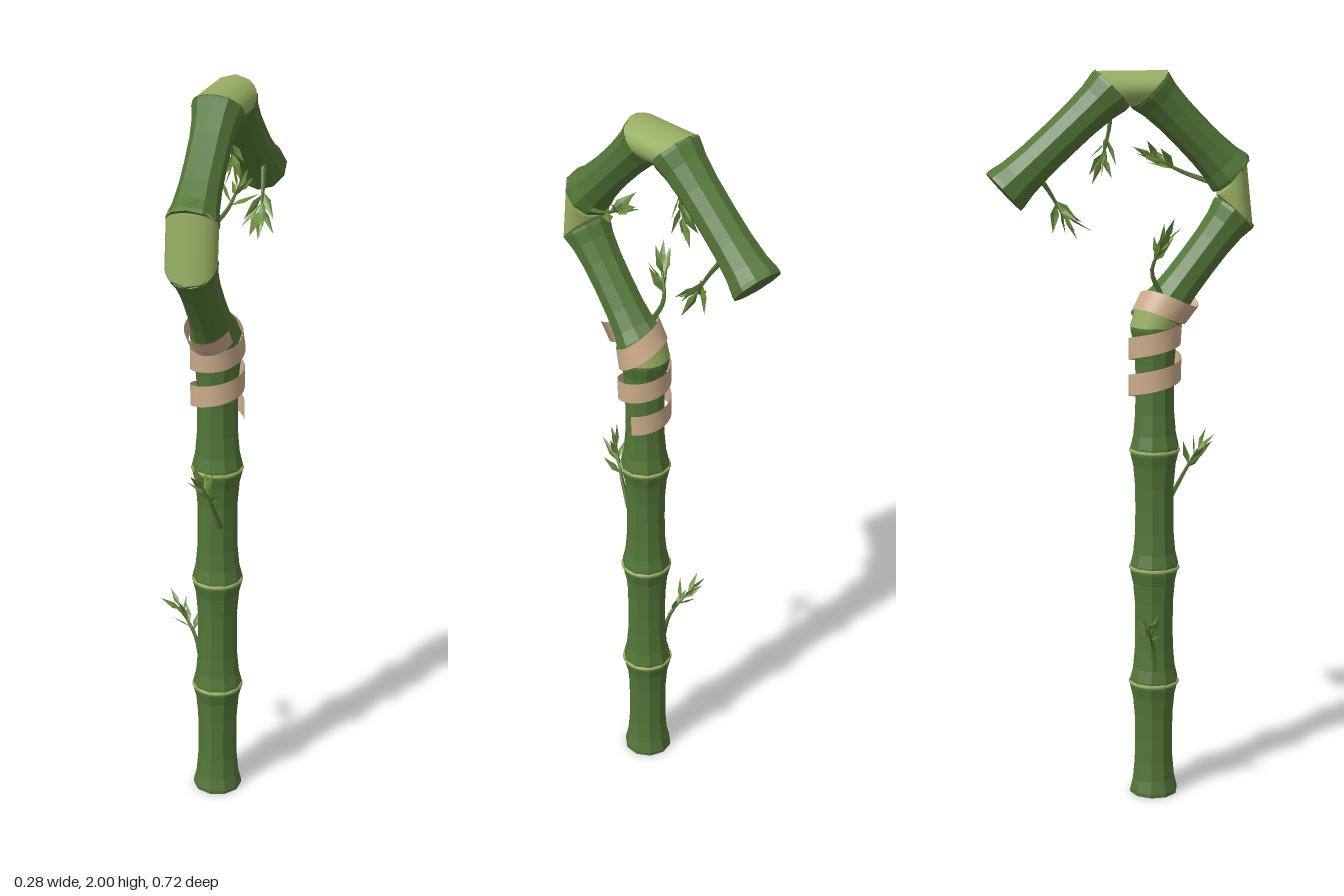
import * as THREE from 'three';
import { toCreasedNormals } from 'three/addons/utils/BufferGeometryUtils.js';
import { ConvexGeometry } from 'three/addons/geometries/ConvexGeometry.js';

const V = (x, y, z) => new THREE.Vector3(x, y, z);
const UP = V(0, 1, 0);
const R = 0.067;

function material(name, color, extra = {}) {
  return Object.assign(new THREE.MeshStandardMaterial({ color, ...extra }), { name });
}

function seeded(seed) {
  return () => (seed = (seed * 16807) % 2147483647) / 2147483647;
}

export function createModel() {
  const root = new THREE.Group();
  root.name = 'bambooStaff';
  const stalk = material('stalk green', 0x527636, { flatShading: true });
  const joint = material('joint green', 0x96ad60);
  const cloth = material('wrap tan', 0xcbab8a, { side: THREE.DoubleSide });
  const leaf = material('leaf green', 0x688a3c, { flatShading: true, side: THREE.DoubleSide });

  const add = (name, geometry, mat, parent = root) => {
    const mesh = new THREE.Mesh(geometry, mat);
    mesh.name = name;
    parent.add(mesh);
    return mesh;
  };

  // Faceted cane section, flared at both ends
  function section(name, a, b) {
    const length = a.distanceTo(b);
    const profile = [[0, 0], [R, 0], [R, 0.03], [0.059, 0.13], [0.054, 0.3], [0.053, 0.5],
      [0.054, 0.7], [0.059, 0.87], [R, 0.97], [R, 1], [0, 1]];
    const geometry = new THREE.LatheGeometry(profile.map(([r, t]) => new THREE.Vector2(r, t * length)), 10);
    const mesh = add(name, geometry, stalk);
    mesh.position.copy(a);
    mesh.quaternion.setFromUnitVectors(UP, b.clone().sub(a).normalize());
  }

  // Smooth elbow: hull of two discs that meet at the inner pivot
  function elbow(name, pivot, ...outers) {
    const points = [];
    for (const outer of outers) {
      const centre = pivot.clone().lerp(outer, 0.5);
      const n = outer.clone().sub(centre);
      for (let i = 0; i < 28; i++) {
        const t = (i / 28) * Math.PI * 2;
        points.push(centre.clone().addScaledVector(n, Math.cos(t)).add(V(R * Math.sin(t), 0, 0)));
      }
    }
    add(name, toCreasedNormals(new ConvexGeometry(points), 0.6), joint);
    return outers.map((outer) => pivot.clone().lerp(outer, 0.5));
  }

  // Elbows, each giving the ends of the sections on either side
  const [low1, low2] = elbow('lowerElbow', V(0.036, 1.325, 0.155), V(0.036, 1.325, 0.023), V(0.036, 1.393, 0.045));
  const [mid1, mid2] = elbow('middleElbow', V(0.041, 1.67, 0.26), V(0.041, 1.577, 0.355), V(0.041, 1.778, 0.333));
  const [top1, top2] = elbow('topElbow', V(0.032, 1.905, 0.02), V(0.032, 1.997, 0.12), V(0.032, 1.997, -0.075));

  // Straight shaft with rings at its nodes
  const nodes = [0, 0.325, 0.655, 0.985, low1.y];
  for (let i = 0; i < 4; i++) {
    section('shaftSection', V(0.036, nodes[i], 0.09), V(0.036, nodes[i + 1], 0.09));
    if (i > 0) {
      const ring = add('nodeRing', new THREE.TorusGeometry(0.064, 0.006, 6, 28), joint);
      ring.rotation.x = Math.PI / 2;
      ring.position.set(0.036, nodes[i], 0.09);
    }
  }

  // Hooked head
  section('neckSection', low2, mid1);
  section('headSection', mid2, top1);
  section('tipSection', top2, V(0.028, 1.69, -0.315));

  // Cloth ribbon wound round the bend
  function wrapGeometry() {
    const steps = 110;
    const pos = [];
    const index = [];
    const start = -1.4 * Math.PI;
    const end = 4.35 * Math.PI;
    const bend = Math.atan2(mid1.z - low2.z, mid1.y - low2.y);
    for (let i = 0; i <= steps; i++) {
      const t = start + ((end - start) * i) / steps;
      const s = 1.215 + (0.1 * t) / (Math.PI * 2);
      const tilt = bend * THREE.MathUtils.smoothstep(s, 1.29, 1.4);
      const along = V(0, Math.cos(tilt), Math.sin(tilt));
      const front = V(0, -Math.sin(tilt), Math.cos(tilt));
      const rise = Math.max(0, s - 1.34);
      const centre = V(0.036, Math.min(s, 1.34) + rise * Math.cos(bend), 0.09 + rise * Math.sin(bend));
      const radius = 0.071;
      centre.addScaledVector(front, radius * Math.cos(t)).add(V(radius * Math.sin(t), 0, 0));
      for (const side of [-0.029, 0.029]) pos.push(...centre.clone().addScaledVector(along, side).toArray());
      if (i < steps) {
        const k = i * 2;
        index.push(k, k + 2, k + 1, k + 1, k + 2, k + 3);
      }
    }
    const geometry = new THREE.BufferGeometry();
    geometry.setAttribute('position', new THREE.Float32BufferAttribute(pos, 3));
    geometry.setIndex(index);
    geometry.computeVertexNormals();
    return geometry;
  }
  add('clothWrap', wrapGeometry(), cloth);

  // Folded pointed leaf growing along +y
  const leafGeometry = new THREE.BufferGeometry();
  leafGeometry.setAttribute('position', new THREE.Float32BufferAttribute([
    0, 0, 0, -0.15, 0.4, 0.05, 0, 0.45, 0, 0.15, 0.4, 0.05, 0, 1, 0.1], 3));
  leafGeometry.setIndex([0, 2, 1, 0, 3, 2, 1, 2, 4, 2, 3, 4]);
  leafGeometry.computeVertexNormals();

  // Tapered twig through three points with a spray of leaves at its end
  function twig(name, seed, a, b, c, size) {
    const random = seeded(seed);
    const group = new THREE.Group();
    group.name = name;
    root.add(group);
    const curve = new THREE.CatmullRomCurve3([a, b, c]);
    const geometry = new THREE.TubeGeometry(curve, 8, 0.008, 5);
    const p = geometry.attributes.position;
    for (let i = 0; i < p.count; i++) {
      const t = Math.floor(i / 6) / 8;
      const centre = curve.getPointAt(t);
      const v = V().fromBufferAttribute(p, i).sub(centre).multiplyScalar(1 - 0.65 * t).add(centre);
      p.setXYZ(i, v.x, v.y, v.z);
    }
    geometry.computeVertexNormals();
    add('twigStem', geometry, stalk, group);
    for (let i = 0; i < 8; i++) {
      const t = 0.58 + 0.06 * i;
      const angle = i * 2.4;
      const direction = curve.getTangentAt(t);
      const sideways = V(Math.cos(angle), 0.4 * (random() - 0.5), Math.sin(angle));
      direction.addScaledVector(sideways, i === 7 ? 0.1 : 0.6).normalize();
      const mesh = add('leaf', leafGeometry, leaf, group);
      mesh.position.copy(curve.getPointAt(t));
      mesh.quaternion.setFromUnitVectors(UP, direction);
      mesh.rotateY(random() * 6.28);
      mesh.scale.setScalar(size * (0.8 + 0.4 * random()));
    }
  }
  twig('lowerTwig', 11, V(-0.012, 0.36, 0.08), V(-0.035, 0.45, 0.07), V(-0.09, 0.52, 0.045), 0.065);
  twig('frontTwig', 23, V(0.06, 0.83, 0.135), V(0.05, 0.91, 0.175), V(0.035, 0.98, 0.21), 0.07);
  twig('neckTwig', 37, V(0, 1.41, 0.1), V(-0.015, 1.48, 0.07), V(-0.035, 1.56, 0.1), 0.07);
  twig('headTwig', 41, V(0.07, 1.7, 0.25), V(0.09, 1.725, 0.18), V(0.095, 1.765, 0.1), 0.075);
  twig('topTwig', 53, V(0.03, 1.92, -0.03), V(0.03, 1.85, -0.035), V(0.03, 1.77, -0.055), 0.075);
  twig('tipTwig', 67, V(0.06, 1.73, -0.22), V(0.07, 1.68, -0.185), V(0.075, 1.62, -0.15), 0.08);

  return root;
}
